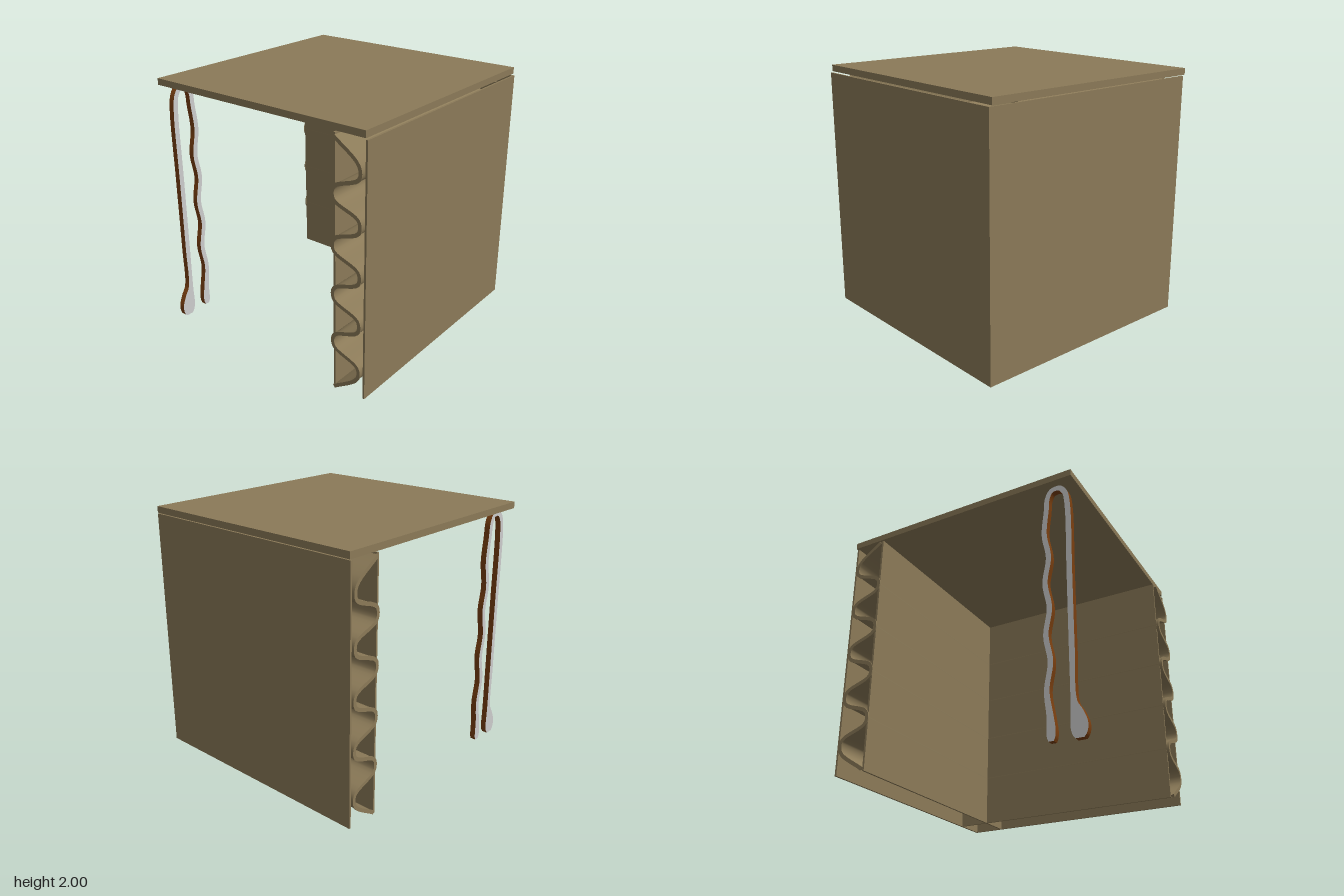
import * as THREE from 'three';
import { toCreasedNormals } from 'three/addons/utils/BufferGeometryUtils.js';

const mat = (name, color) => {
  const m = new THREE.MeshStandardMaterial({ color });
  m.name = name;
  return m;
};

// Extruded band along a smooth centre line; each point is [u, y, halfThickness]
function band(points, depth, steps) {
  const curve = new THREE.CatmullRomCurve3(points.map((p) => new THREE.Vector3(...p)));
  const pts = curve.getPoints((points.length - 1) * steps);
  const left = [], right = [];
  pts.forEach((p, i) => {
    const a = pts[Math.max(i - 1, 0)], b = pts[Math.min(i + 1, pts.length - 1)];
    const n = new THREE.Vector2(a.y - b.y, b.x - a.x).normalize().multiplyScalar(p.z);
    left.push(new THREE.Vector2(p.x + n.x, p.y + n.y));
    right.push(new THREE.Vector2(p.x - n.x, p.y - n.y));
  });
  const shape = new THREE.Shape([...left, ...right.reverse()]);
  const geo = new THREE.ExtrudeGeometry(shape, { depth, bevelEnabled: false });
  return toCreasedNormals(geo, 0.7);
}

// Centre line of the corrugation: squared-off waves between liner and wall
function wavePoints(half, sign) {
  const inner = 0.72, outer = 0.92;
  const pts = [[inner, 1.925, half]];
  const crests = [1.725, 1.355, 0.985, 0.615, 0.24];
  crests.forEach((y, i) => {
    pts.push([outer, y + 0.045, half], [outer, y - 0.045, half]);
    if (i < crests.length - 1) {
      const t = (y + crests[i + 1]) / 2;
      pts.push([inner, t + 0.045, half], [inner, t - 0.045, half]);
    }
  });
  pts.push([inner, 0.045, half]);
  return pts.map(([u, y, h]) => [u * sign, y, h]);
}

export function createModel() {
  const root = new THREE.Group();
  root.name = 'cardboardTable';
  const card = mat('cardboard', 0x8b7a58);
  const brown = mat('brownMetal', 0x7a3f10);
  const grey = mat('paleGrey', 0xcccccc);

  const add = (name, geo, material, x = 0, y = 0, z = 0) => {
    const m = new THREE.Mesh(geo, material);
    m.name = name;
    m.position.set(x, y, z);
    root.add(m);
    return m;
  };
  // Box from its limits
  const slab = (name, x0, x1, y0, y1, z0, z1) =>
    add(name, new THREE.BoxGeometry(x1 - x0, y1 - y0, z1 - z0), card,
      (x0 + x1) / 2, (y0 + y1) / 2, (z0 + z1) / 2);

  // Top
  slab('tableTop', -0.96, 0.95, 1.95, 2, -0.98, 0.94);

  // Two walls, each an outer sheet and an inner liner
  slab('sideOuterSheet', 0.95, 0.965, 0.03, 1.94, -0.97, 0.94);
  slab('sideInnerLiner', 0.7, 0.715, 0.03, 1.94, -0.955, 0.945);
  slab('backOuterSheet', -0.955, 0.95, 0.03, 1.94, -0.97, -0.955);
  slab('backInnerLiner', -0.96, 0.95, 0.03, 1.94, -0.72, -0.705);

  // Corrugated filling, with a slightly thicker lip on the exposed edge
  add('sideCorrugation', band(wavePoints(0.008, 1), 1.91, 6), card, 0, 0, -0.95);
  add('sideCorrugationLip', band(wavePoints(0.014, 1), 0.008, 6), card, 0, 0, 0.96);
  const back = add('backCorrugation', band(wavePoints(0.008, -1), 1.91, 6), card, 0.945, 0, -0.005);
  const backLip = add('backCorrugationLip', band(wavePoints(0.014, -1), 0.008, 6), card, -0.961, 0, -0.005);
  back.rotation.y = backLip.rotation.y = -Math.PI / 2;

  // Hairpin leg: straight prong with a round tip, bend, then a wavy prong
  const pin = [
    [0.916, 0.002, 0.03], [0.916, 0.03, 0.05], [0.914, 0.09, 0.06], [0.9, 0.17, 0.045],
    [0.882, 0.25, 0.023], [0.88, 0.6, 0.021], [0.88, 1.2, 0.021], [0.88, 1.76, 0.021],
    [0.862, 1.87, 0.02], [0.825, 1.918, 0.02], [0.79, 1.925, 0.02],
    [0.755, 1.915, 0.02], [0.725, 1.86, 0.02], [0.715, 1.76, 0.02],
  ];
  for (let i = 0; i < 7; i++) pin.push([0.71 + (i % 2 ? 0.015 : -0.015), 1.56 - i * 0.2, 0.02]);
  pin.push([0.715, 0.18, 0.025], [0.72, 0.09, 0.032], [0.72, 0.04, 0.029], [0.72, 0.012, 0.018]);
  const leg = add('hairpinLeg', band(pin, 0.045, 6), [grey, brown], -0.857, 0, 0);
  leg.rotation.y = -Math.PI / 2;

  return root;
}
